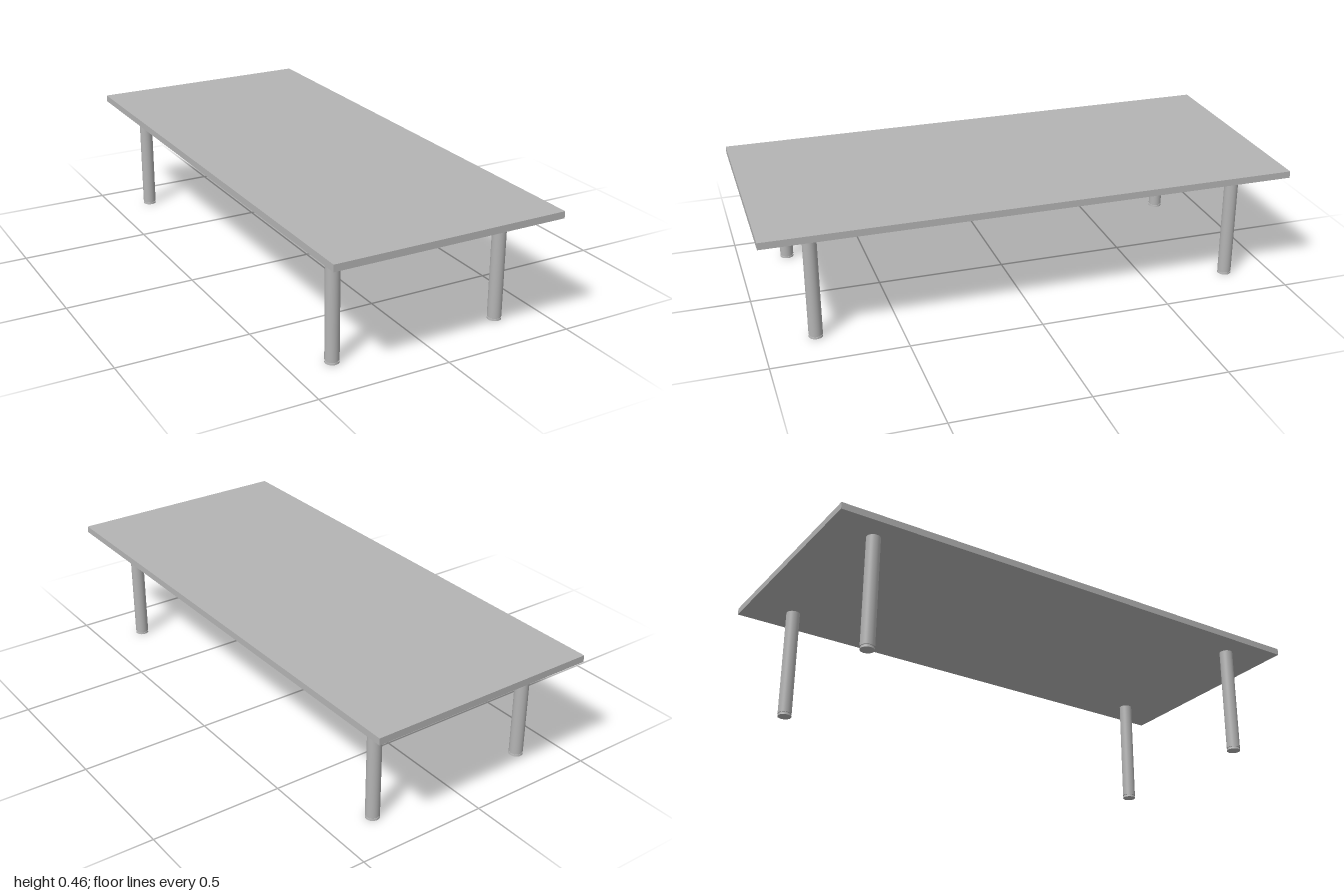
import * as THREE from 'three';

export function createModel() {
  const group = new THREE.Group();
  group.name = 'table';
  const grey = new THREE.MeshStandardMaterial({ color: 0xb4b4b4 });
  grey.name = 'grey';

  // Flat rectangular top
  const topY = 0.46, underY = 0.434;
  const top = new THREE.Mesh(new THREE.BoxGeometry(0.9, topY - underY, 2), grey);
  top.name = 'tableTop';
  top.position.y = (topY + underY) / 2;
  group.add(top);

  const r = 0.026;
  const post = new THREE.CylinderGeometry(r, r, underY - 0.011, 32);
  const neck = new THREE.CylinderGeometry(r - 0.003, r - 0.003, 0.006, 32);
  const foot = new THREE.CylinderGeometry(r - 0.001, r, 0.007, 32);

  // Round leg: post, recessed neck and foot disc
  function makeLeg(name, x, z) {
    const leg = new THREE.Group();
    leg.name = name;
    const parts = [
      ['post', post, (underY + 0.011) / 2],
      ['neck', neck, 0.009],
      ['foot', foot, 0.0035],
    ];
    for (const [partName, geometry, y] of parts) {
      const mesh = new THREE.Mesh(geometry, grey);
      mesh.name = partName;
      mesh.position.y = y;
      leg.add(mesh);
    }
    leg.position.set(x, 0, z);
    group.add(leg);
  }

  // The four legs sit slightly off the centre of the top
  for (const [side, x] of [['Left', 0.327], ['Right', -0.343]]) {
    makeLeg('front' + side + 'Leg', x, 0.808);
    makeLeg('back' + side + 'Leg', x, -0.823);
  }
  return group;
}
